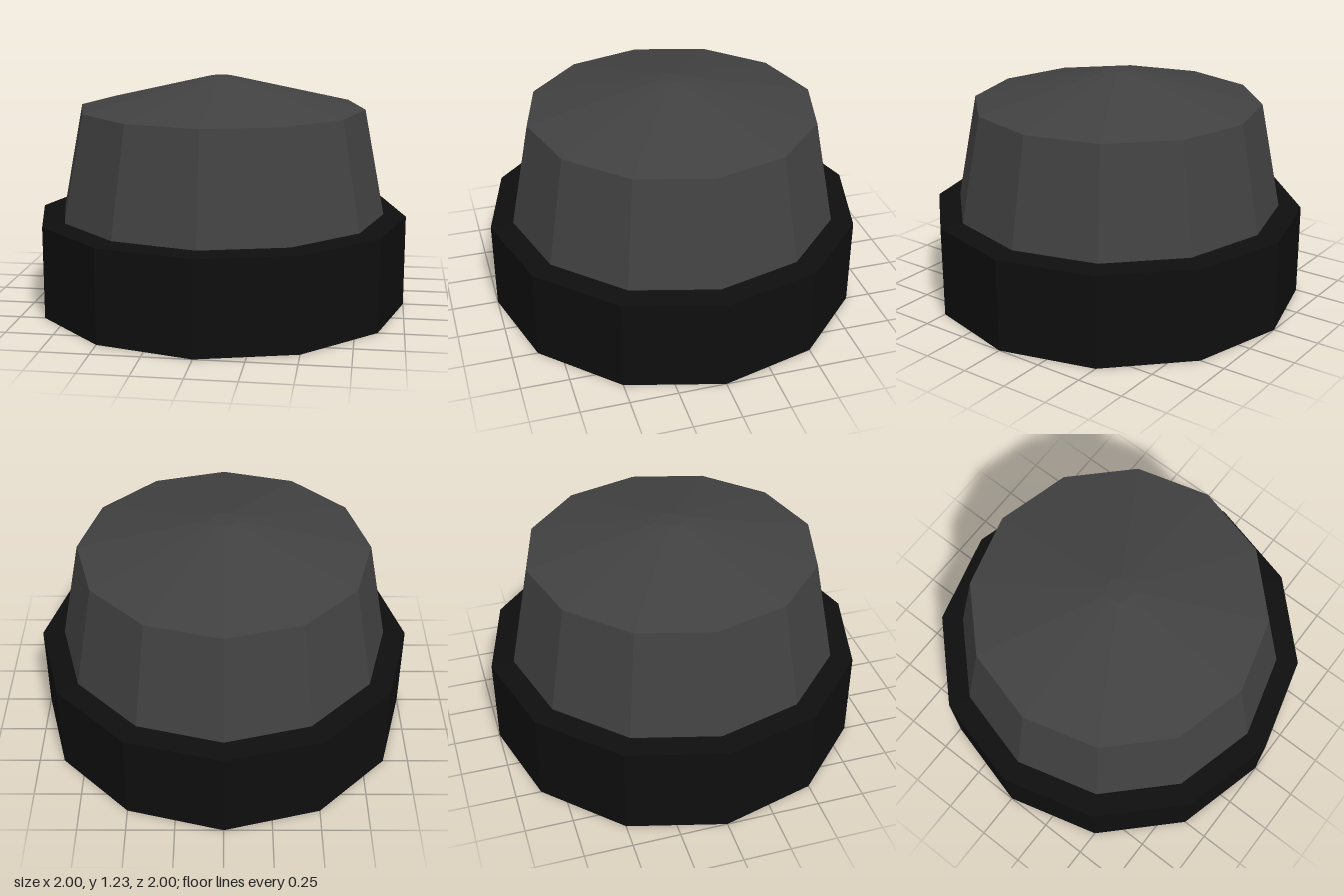
import * as THREE from 'three';

const SIDES = 12;

function material(name, color) {
  const m = new THREE.MeshStandardMaterial({ color, flatShading: true });
  m.name = name;
  return m;
}

// Twelve-sided turned part from [radius, height] pairs, bottom to top
function turned(name, profile, mat) {
  const points = profile.map(([r, y]) => new THREE.Vector2(r, y));
  const mesh = new THREE.Mesh(new THREE.LatheGeometry(points, SIDES), mat);
  mesh.name = name;
  return mesh;
}

export function createModel() {
  const group = new THREE.Group();
  group.name = 'knob';
  const black = material('black', 0x0e0e0e);
  const darkGrey = material('dark grey', 0x414141);

  // Wide collar with a slightly sloped top rim
  group.add(turned('baseCollar', [[0, 0], [1, 0], [1, 0.49], [0.88, 0.5]], black));

  // Tapered cap with a shallow cone and a small flat tip
  group.add(turned('cap', [[0.88, 0.5], [0.77, 1.065], [0.065, 1.232], [0, 1.232]], darkGrey));

  return group;
}
